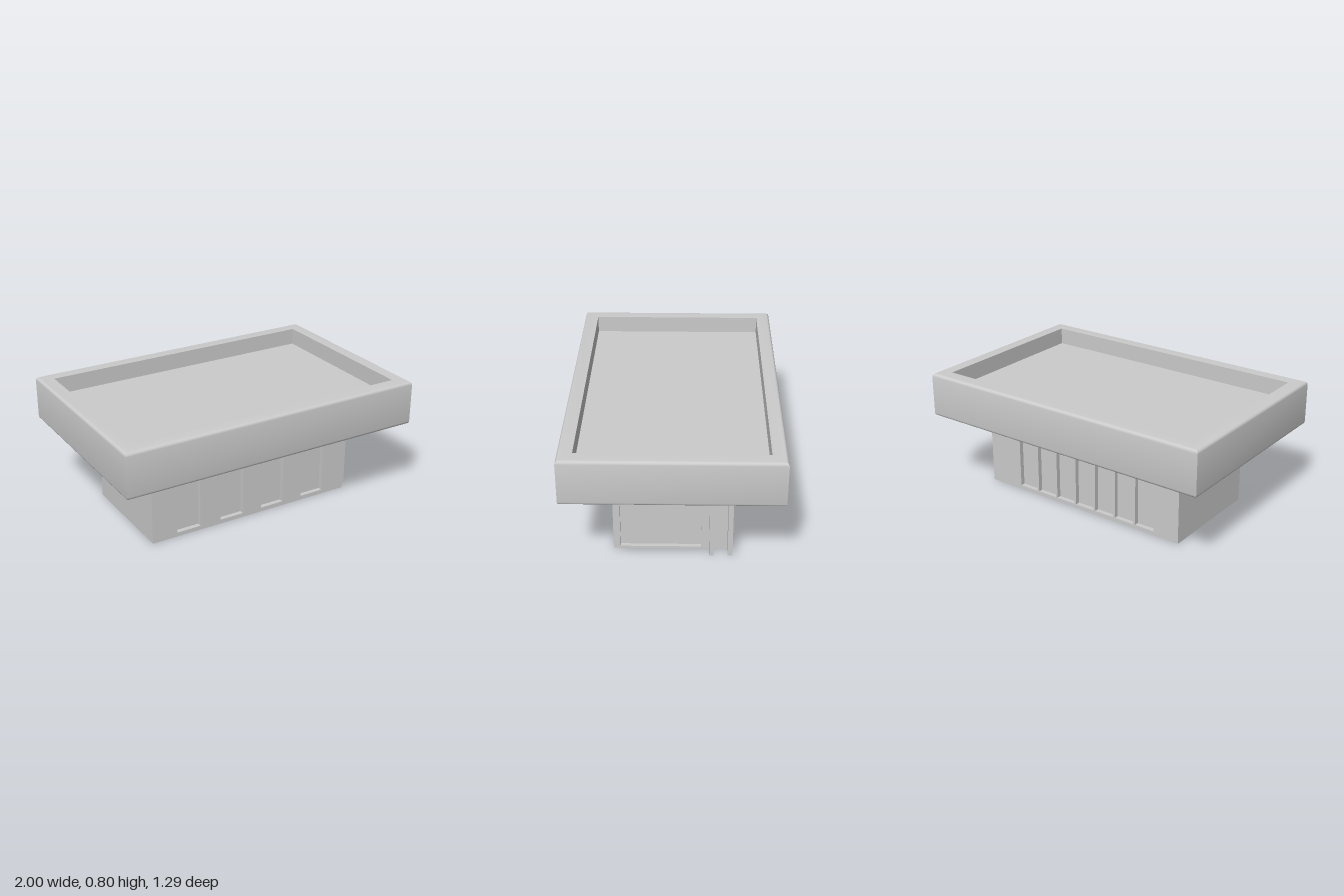
import * as THREE from 'three';
import { toCreasedNormals } from 'three/addons/utils/BufferGeometryUtils.js';

const material = new THREE.MeshStandardMaterial({ color: 0xcccccc });

const W = 0.708, D = 0.36, H = 0.51;   // body half width, half depth, height
const RECESS = 0.03;                   // depth of wall openings

function add(parent, name, geometry, x = 0, y = 0, z = 0) {
  const mesh = new THREE.Mesh(geometry, material);
  mesh.name = name;
  mesh.position.set(x, y, z);
  parent.add(mesh);
  return mesh;
}

// Box given by its minimum and maximum corners
function addBox(parent, name, [x0, y0, z0], [x1, y1, z1]) {
  return add(parent, name, new THREE.BoxGeometry(x1 - x0, y1 - y0, z1 - z0),
    (x0 + x1) / 2, (y0 + y1) / 2, (z0 + z1) / 2);
}

function rectangle(Type, x0, y0, x1, y1) {
  return new Type([[x0, y0], [x1, y0], [x1, y1], [x0, y1]].map(p => new THREE.Vector2(...p)));
}

// Flat plate with rectangular openings
function plate(outer, holes, depth) {
  const shape = rectangle(THREE.Shape, ...outer);
  shape.holes = holes.map(h => rectangle(THREE.Path, ...h));
  return new THREE.ExtrudeGeometry(shape, { depth, bevelEnabled: false });
}

// Sweeps a profile of [inset, y] around a rectangle with mitred corners
function mitredSweep(hx, hz, profile) {
  const corners = [[1, 1], [1, -1], [-1, -1], [-1, 1]];
  const positions = [];
  const point = ([inset, y], [sx, sz]) => [sx * (hx - inset), y, sz * (hz - inset)];
  for (let i = 0; i < profile.length - 1; i++) {
    for (let k = 0; k < 4; k++) {
      const a = point(profile[i], corners[k]);
      const b = point(profile[i], corners[(k + 1) % 4]);
      const c = point(profile[i + 1], corners[(k + 1) % 4]);
      const d = point(profile[i + 1], corners[k]);
      positions.push(...a, ...b, ...c, ...a, ...c, ...d);
    }
  }
  const geometry = new THREE.BufferGeometry();
  geometry.setAttribute('position', new THREE.Float32BufferAttribute(positions, 3));
  return toCreasedNormals(geometry, 0.6);
}

export function createModel() {
  const model = new THREE.Group();
  model.name = 'shopBuilding';

  // Overhanging roof: softened edges, raised parapet, sunken deck
  const hx = 1, hz = 0.645, top = 0.8, r = 0.02;
  const profile = [[hz, H]];
  for (let i = 0; i <= 4; i++) {
    const a = i * Math.PI / 8;
    profile.push([r - r * Math.sin(a), H + r - r * Math.cos(a)]);
  }
  for (let i = 0; i <= 4; i++) {
    const a = i * Math.PI / 8;
    profile.push([r - r * Math.cos(a), top - r + r * Math.sin(a)]);
  }
  profile.push([0.09, top], [0.09, 0.69], [hz, 0.69]);
  add(model, 'roof', mitredSweep(hx, hz, profile));

  // Body core behind the front and back walls
  addBox(model, 'body', [-W, 0, -D + RECESS], [W, H, D - RECESS]);

  // Front wall: four tall openings alternating with three small high ones
  const frontHoles = [];
  for (const x of [-0.458, -0.15, 0.15, 0.458]) {
    frontHoles.push([x - 0.082, 0.027, x + 0.082, 0.418]);
  }
  for (const x of [-0.3, 0, 0.3]) {
    frontHoles.push([x - 0.076, 0.423, x + 0.076, 0.485]);
  }
  add(model, 'frontWall', plate([-W, 0, W, H], frontHoles, RECESS), 0, 0, D - RECESS);

  // Back wall: seven tall openings, each with a small one above
  const backHoles = [];
  for (let i = -3; i <= 3; i++) {
    const x = i * 0.154;
    backHoles.push([x - 0.07, 0.027, x + 0.07, 0.418], [x - 0.07, 0.43, x + 0.07, 0.485]);
  }
  add(model, 'backWall', plate([-W, 0, W, H], backHoles, RECESS), 0, 0, -D);

  // Side window: thin projecting frame around a set-back pane
  const frame = add(model, 'sideWindowFrame',
    plate([-0.33, 0.03, 0.185, 0.48], [[-0.315, 0.043, 0.17, 0.465]], 0.745 - W), W);
  frame.rotation.y = Math.PI / 2;
  addBox(model, 'sideWindowPane', [W, 0.043, -0.17], [0.72, 0.465, 0.315]);

  // Side door jambs
  for (const [z0, z1] of [[-0.245, -0.22], [-0.36, -0.33]]) {
    addBox(model, 'sideDoorJamb', [W, 0, z0], [0.775, H, z1]);
  }

  return model;
}
